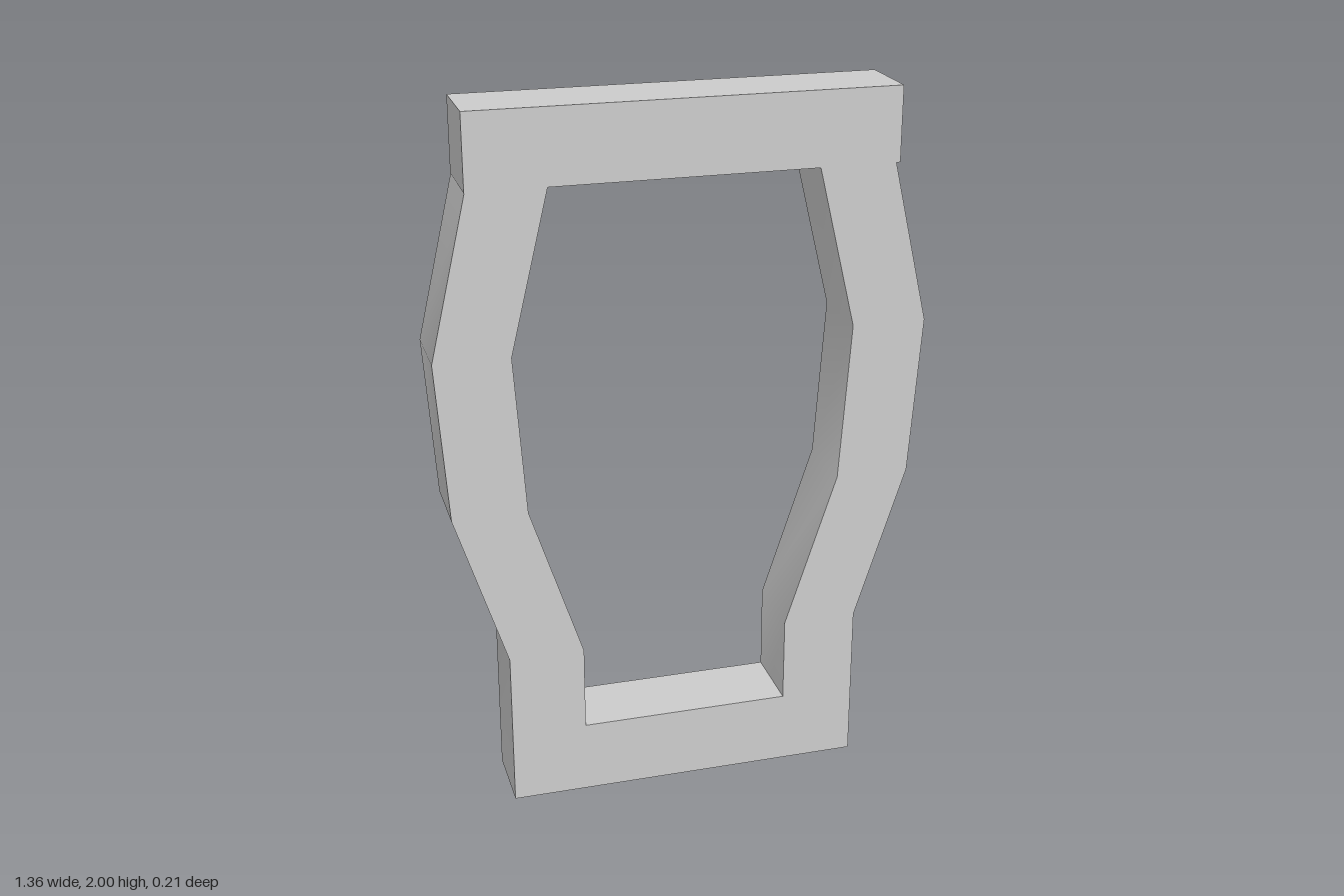
import * as THREE from 'three';
import { toCreasedNormals } from 'three/addons/utils/BufferGeometryUtils.js';

const DEPTH = 0.21;
const material = new THREE.MeshStandardMaterial({ color: 0xcccccc });

// Flat bar between two x and two y limits
function bar(name, x0, x1, y0, y1) {
  const mesh = new THREE.Mesh(new THREE.BoxGeometry(x1 - x0, y1 - y0, DEPTH), material);
  mesh.position.set((x0 + x1) / 2, (y0 + y1) / 2, 0);
  mesh.name = name;
  return mesh;
}

// Bowed upright: a strip of constant width following a bent centre line
function upright(name, side) {
  const outer = [[0.51, 0], [0.51, 0.455], [0.652, 0.9], [0.682, 1.348], [0.577, 1.795]];
  const inner = [[0.365, 1.795], [0.473, 1.348], [0.443, 0.9], [0.298, 0.455], [0.298, 0]];
  const outline = [...outer, ...inner].map(([x, y]) => new THREE.Vector2(side * x, y));
  const extruded = new THREE.ExtrudeGeometry(new THREE.Shape(outline), { depth: DEPTH, bevelEnabled: false });
  extruded.translate(0, 0, -DEPTH / 2);
  // Soft shading over the shallow bends, sharp at the corners
  const mesh = new THREE.Mesh(toCreasedNormals(extruded, 0.6), material);
  mesh.name = name;
  return mesh;
}

export function createModel() {
  const frame = new THREE.Group();
  frame.name = 'frame';
  frame.add(
    upright('leftUpright', 1),
    upright('rightUpright', -1),
    bar('topBar', -0.578, 0.588, 1.795, 2),
    bar('bottomBar', -0.298, 0.298, 0, 0.21)
  );
  return frame;
}
